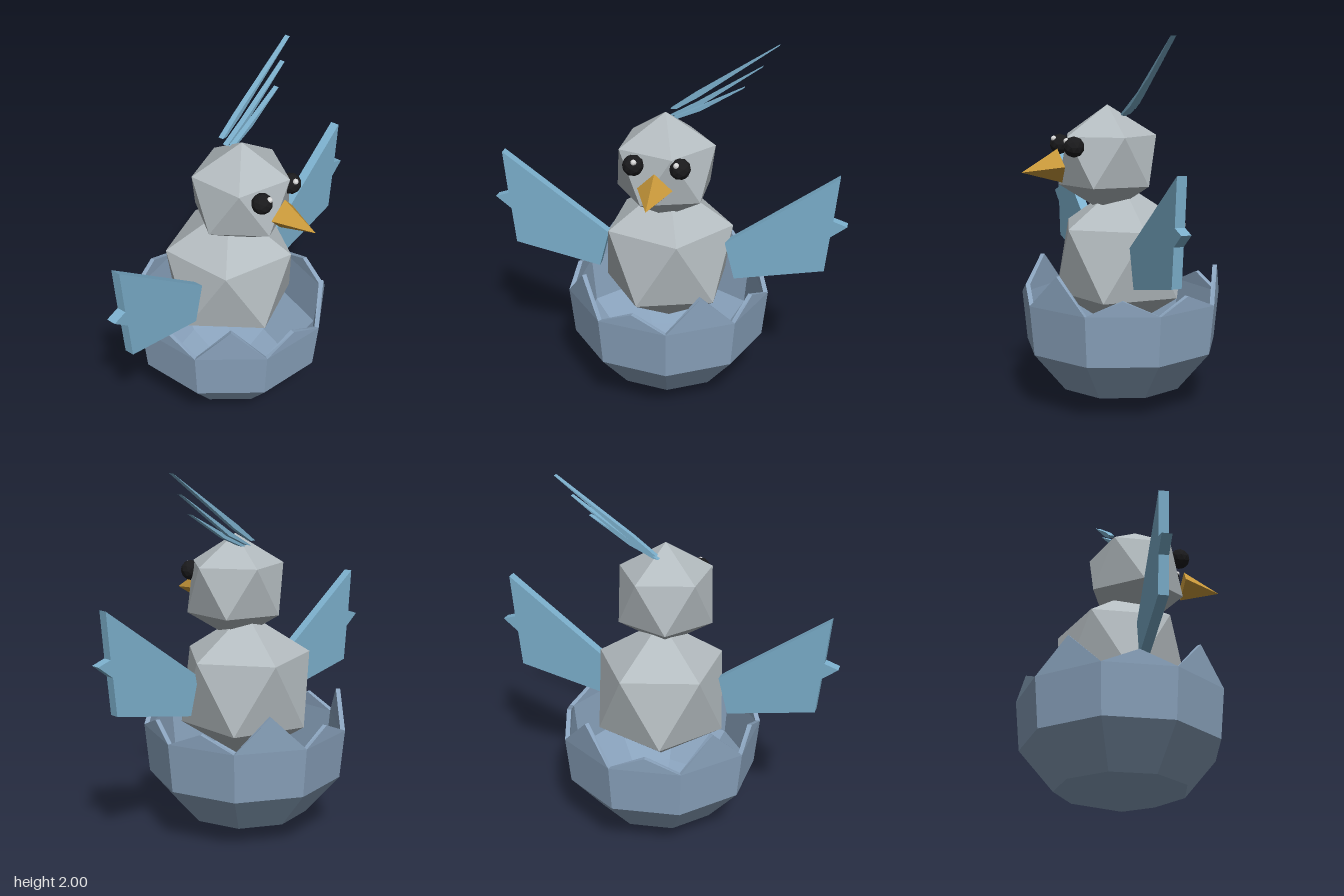
import * as THREE from 'three';
import { ConvexGeometry } from 'three/addons/geometries/ConvexGeometry.js';

const mat = (name, color) => {
  const m = new THREE.MeshStandardMaterial({ color, flatShading: true });
  m.name = name;
  return m;
};

export function createModel() {
  const group = new THREE.Group();
  const grey = mat('plumageGrey', 0xb4bcc0);
  const blue = mat('featherBlue', 0x7cb0cd);
  const shellBlue = mat('shellBlue', 0x8aa3bd);
  const gold = mat('beakGold', 0xc8983a);
  const black = mat('eyeBlack', 0x1a1a1c);
  const white = mat('glintWhite', 0xd8d8d8);

  const add = (name, geometry, material, x = 0, y = 0, z = 0) => {
    const mesh = new THREE.Mesh(geometry, material);
    mesh.name = name;
    mesh.position.set(x, y, z);
    group.add(mesh);
    return mesh;
  };

  // Icosahedron standing on a vertex, one upper corner towards +x
  const uprightIco = (r) => {
    const pts = [new THREE.Vector3(0, r, 0), new THREE.Vector3(0, -r, 0)];
    const ring = r * 0.8944, h = r * 0.4472;
    for (let i = 0; i < 10; i++) {
      const a = (i * Math.PI) / 5;
      pts.push(new THREE.Vector3(ring * Math.cos(a), i % 2 ? -h : h, ring * Math.sin(a)));
    }
    return new ConvexGeometry(pts);
  };

  // Body and head
  add('body', uprightIco(0.4), grey, 0, 0.81, 0).scale.y = 1.05;
  add('head', uprightIco(0.297), grey, 0, 1.355, 0.08);

  // Beak: four-sided cone tipped slightly downwards
  const beakGeo = new THREE.ConeGeometry(0.092, 0.214, 4);
  beakGeo.translate(0, 0.107, 0);
  beakGeo.rotateX(Math.PI / 2 + 0.14);
  add('beak', beakGeo, gold, 0, 1.33, 0.35);

  // Flat plate cut from an outline, from z to z + depth
  const plate = (name, pts, z, depth) => {
    const shape = new THREE.Shape(pts.map(([x, y]) => new THREE.Vector2(x, y)));
    const geo = new THREE.ExtrudeGeometry(shape, { depth, bevelEnabled: false });
    add(name, geo, blue, 0, 0, z);
  };

  // Eyes and wings, mirrored
  const wing = [[0.325, 0.92], [0.38, 0.71], [0.865, 0.81], [0.884, 1.015],
    [0.97, 1.083], [0.895, 1.108], [0.915, 1.353]];
  for (const [side, s] of [['left', 1], ['right', -1]]) {
    add(side + 'Eye', new THREE.IcosahedronGeometry(0.056, 1), black, s * 0.122, 1.437, 0.31);
    add(side + 'EyeGlint', new THREE.IcosahedronGeometry(0.016, 1), white,
      s * 0.122 + 0.012 * -s, 1.468, 0.348);
    plate(side + 'Wing', wing.map(([x, y]) => [s * x, y]), 0.025, 0.052);
  }

  // Crest feathers: slender blades
  plate('crestFeather1', [[0, 1.625], [0.03, 1.625], [0.15, 1.7], [0.56, 2], [0.13, 1.72]], -0.073, 0.03);
  plate('crestFeather2', [[0, 1.595], [0.03, 1.6], [0.16, 1.66], [0.482, 1.892], [0.14, 1.675]], -0.044, 0.03);
  plate('crestFeather3', [[0.01, 1.59], [0.04, 1.59], [0.17, 1.645], [0.395, 1.785], [0.15, 1.66]], -0.015, 0.03);

  // Broken eggshell: nine-sided bowl with a toothed rim and an inner wall
  const N = 9;
  const outer = [[0, 0.005], [0.353, 0.11], [0.538, 0.33], [0.564, 0.6]];
  const inner = [[0, 0.03], [0.335, 0.13], [0.512, 0.335], [0.538, 0.6]];
  const v = [];
  const tri = (a, b, c) => v.push(...a, ...b, ...c);
  const at = ([r, y], i) => {
    const a = (i * 2 * Math.PI) / N;
    return [r * Math.cos(a), y, r * Math.sin(a)];
  };
  const tooth = ([r], i) => {
    const p = at([r * Math.cos(Math.PI / N), 0], i + 0.5);
    p[1] = i % 2 ? 0.785 : 0.68;
    return p;
  };
  for (let i = 0; i < N; i++) {
    for (const [profile, flip] of [[outer, false], [inner, true]]) {
      const face = (a, b, c) => (flip ? tri(a, c, b) : tri(a, b, c));
      for (let k = 0; k < 3; k++) {
        const a = at(profile[k], i), b = at(profile[k + 1], i);
        const c = at(profile[k + 1], i + 1), d = at(profile[k], i + 1);
        face(a, b, c);
        if (k > 0) face(a, c, d);
      }
      face(at(profile[3], i), tooth(profile[3], i), at(profile[3], i + 1));
    }
    // Rim strip joining both walls over each tooth
    const po = tooth(outer[3], i), pi = tooth(inner[3], i);
    const o0 = at(outer[3], i), i0 = at(inner[3], i);
    const o1 = at(outer[3], i + 1), i1 = at(inner[3], i + 1);
    tri(o0, i0, pi);
    tri(o0, pi, po);
    tri(po, pi, i1);
    tri(po, i1, o1);
  }
  const shellGeo = new THREE.BufferGeometry();
  shellGeo.setAttribute('position', new THREE.Float32BufferAttribute(v, 3));
  shellGeo.computeVertexNormals();
  add('eggshell', shellGeo, shellBlue);

  return group;
}
